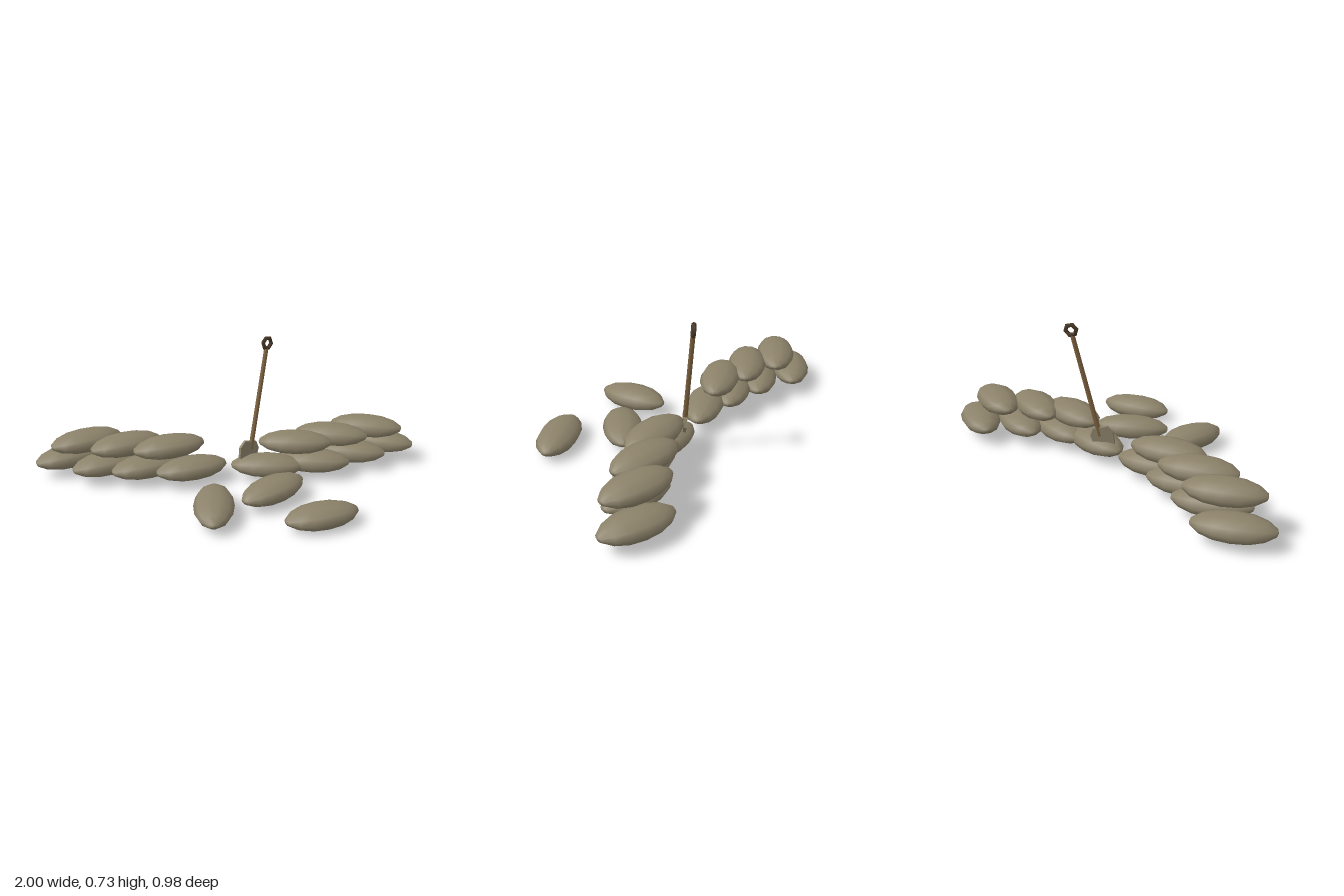
import * as THREE from 'three';

const mat = (name, color) => {
  const m = new THREE.MeshStandardMaterial({ color });
  m.name = name;
  return m;
};

export function createModel() {
  const model = new THREE.Group();
  model.name = 'sandbagBarricade';
  const canvas = mat('sandbag canvas', 0x8c826a);
  const wood = mat('shaft wood', 0x7f6340);
  const dark = mat('dark grip', 0x4a3826);

  // One plump bag with slightly blunt ends, lying along x
  const half = [[0, 1], [0.25, 0.97], [0.66, 0.74], [0.92, 0.4]];
  const profile = [
    ...half.map(([r, t]) => new THREE.Vector2(r, -t)),
    new THREE.Vector2(1, 0),
    ...half.slice().reverse().map(([r, t]) => new THREE.Vector2(r, t)),
  ];
  const bagGeo = new THREE.LatheGeometry(profile, 10);
  bagGeo.rotateZ(Math.PI / 2);
  bagGeo.scale(0.187, 0.056, 0.099);

  // x, y, z, turn in degrees, roll in degrees
  const addBags = (name, list) => {
    const group = new THREE.Group();
    group.name = name;
    for (const [x, y, z, turn, roll = 0] of list) {
      const bag = new THREE.Mesh(bagGeo, canvas);
      bag.name = 'sandbag';
      bag.position.set(x, y, z);
      bag.rotation.set(0, THREE.MathUtils.degToRad(turn), THREE.MathUtils.degToRad(roll));
      group.add(bag);
    }
    model.add(group);
  };

  addBags('rightWall', [
    [-0.83, 0.085, -0.385, 24], [-0.64, 0.085, -0.27, 22],
    [-0.44, 0.088, -0.2, 18], [-0.215, 0.088, -0.145, 14],
    [-0.74, 0.197, -0.325, 22], [-0.54, 0.2, -0.24, 20], [-0.325, 0.2, -0.18, 14],
  ]);
  addBags('leftWall', [
    [0.175, 0.082, -0.13, -10], [0.42, 0.085, -0.14, -14],
    [0.635, 0.088, -0.22, -20], [0.825, 0.088, -0.325, -29],
    [0.735, 0.202, -0.275, -23], [0.525, 0.202, -0.2, -20], [0.32, 0.198, -0.14, -11],
  ]);
  addBags('looseBags', [
    [-0.15, 0.07, 0.235, 82, 3], [0.155, 0.075, 0.125, 32, 2], [0.34, 0.056, 0.378, 13],
  ]);

  // Shovel leaning back, built upright from the foot of its shaft
  const shovel = new THREE.Group();
  shovel.name = 'shovel';
  const foot = new THREE.Vector3(0.1, 0.17, -0.188);
  const tip = new THREE.Vector3(0.187, 0.67, -0.265);
  const length = foot.distanceTo(tip);
  const dir = tip.clone().sub(foot).normalize();
  shovel.position.copy(foot);
  shovel.quaternion.setFromUnitVectors(new THREE.Vector3(0, 1, 0), dir);
  shovel.rotateY(0.48);

  const shaft = new THREE.Mesh(new THREE.CylinderGeometry(0.011, 0.012, length + 0.02, 6), wood);
  shaft.name = 'shaft';
  shaft.position.y = length / 2 - 0.01;

  const grip = new THREE.Mesh(new THREE.TorusGeometry(0.027, 0.011, 5, 6), dark);
  grip.name = 'ringGrip';
  grip.position.y = length + 0.024;

  // Thin pointed blade sunk between the bags
  const outline = [[-0.035, 0.025], [-0.058, -0.01], [-0.052, -0.075], [0, -0.13],
    [0.052, -0.075], [0.058, -0.01], [0.035, 0.025]];
  const shape = new THREE.Shape(outline.map(([x, y]) => new THREE.Vector2(x, y)));
  const bladeGeo = new THREE.ExtrudeGeometry(shape, { depth: 0.016, bevelEnabled: false });
  bladeGeo.translate(0, 0, -0.008);
  const blade = new THREE.Mesh(bladeGeo, canvas);
  blade.name = 'blade';
  blade.position.x = -0.012;

  shovel.add(shaft, grip, blade);
  model.add(shovel);
  return model;
}
